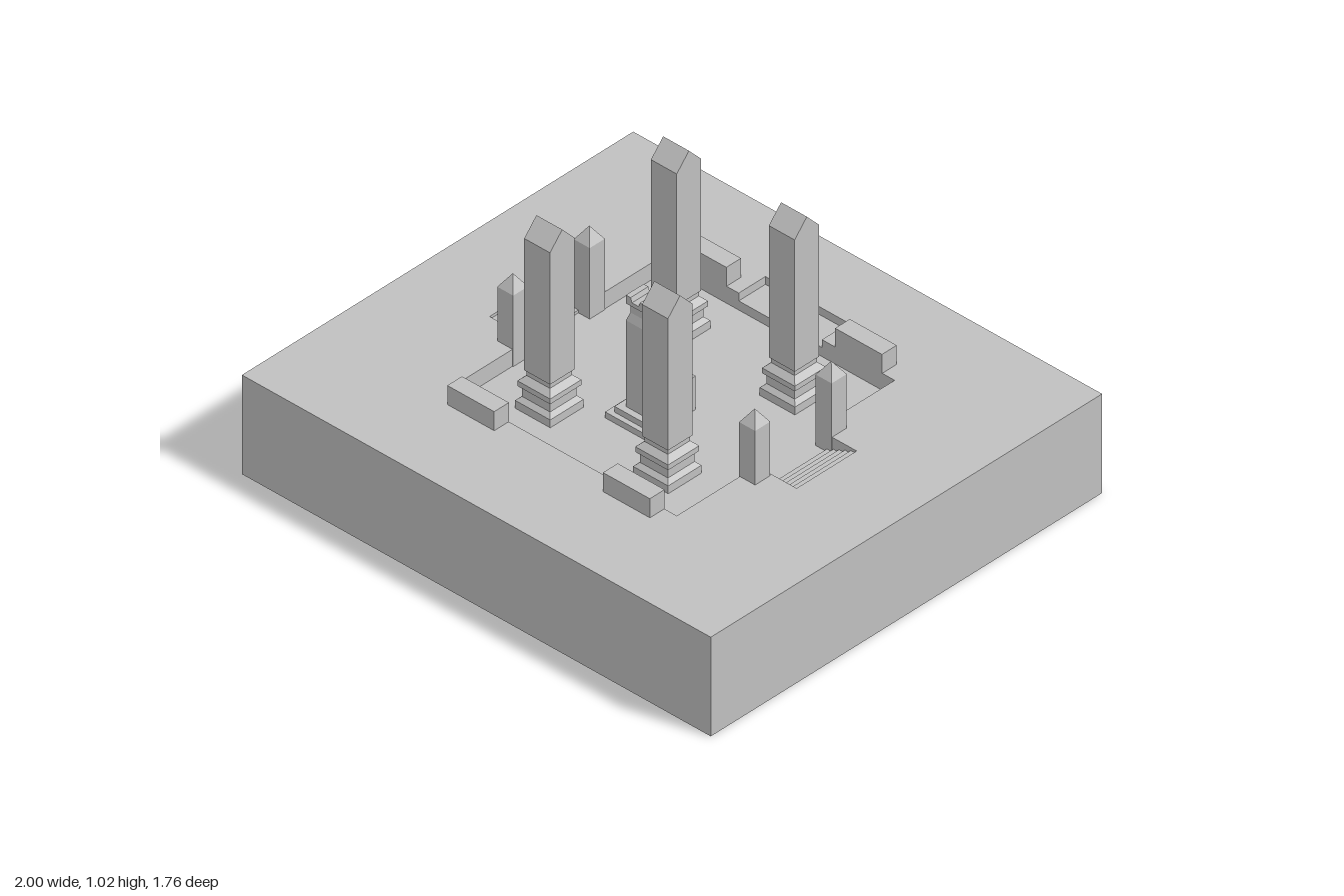
import * as THREE from 'three';

const GROUND = 0.38, FLOOR = 0.315;

export function createModel() {
  const model = new THREE.Group();
  model.name = 'sunkenCourt';
  const stone = new THREE.MeshStandardMaterial({ color: 0xc0c0c0 });
  stone.name = 'grey stone';

  const add = (name, geometry, parent = model) => {
    const mesh = new THREE.Mesh(geometry, stone);
    mesh.name = name;
    parent.add(mesh);
    return mesh;
  };

  // Box given by its limits on each axis
  const block = (name, x0, x1, y0, y1, z0, z1, parent) => {
    const mesh = add(name, new THREE.BoxGeometry(x1 - x0, y1 - y0, z1 - z0), parent);
    mesh.position.set((x0 + x1) / 2, (y0 + y1) / 2, (z0 + z1) / 2);
    return mesh;
  };

  // Square-sectioned solid from [half width, height] pairs, bottom to top
  const squareLoft = (profile) => {
    const points = profile.map(([w, y]) => new THREE.Vector2(w * Math.SQRT2, y));
    const geometry = new THREE.LatheGeometry(points, 4, Math.PI / 4).toNonIndexed();
    geometry.computeVertexNormals();
    return geometry;
  };

  // Outline in x and y, extruded evenly about z = 0
  const slice = (points, depth) => {
    const shape = new THREE.Shape(points.map(([x, y]) => new THREE.Vector2(x, y)));
    return new THREE.ExtrudeGeometry(shape, { depth, bevelEnabled: false }).translate(0, 0, -depth / 2);
  };

  // Ground slab with the court, stairwells and rear alcove cut out
  block('foundation', -1, 1, 0, FLOOR, -0.88, 0.88);
  const ground = new THREE.Shape([[-1, -0.88], [1, -0.88], [1, 0.88], [-1, 0.88]]
    .map(([x, y]) => new THREE.Vector2(x, y)));
  ground.holes.push(new THREE.Path([
    [-0.485, -0.49], [-0.485, -0.13], [-0.655, -0.13], [-0.655, 0.14], [-0.485, 0.14],
    [-0.485, 0.49], [-0.18, 0.49], [-0.18, 0.61], [0.175, 0.61], [0.175, 0.49],
    [0.485, 0.49], [0.485, 0.14], [0.655, 0.14], [0.655, -0.13], [0.485, -0.13], [0.485, -0.49],
  ].map(([x, y]) => new THREE.Vector2(x, y))));
  const groundGeometry = new THREE.ExtrudeGeometry(ground, { depth: GROUND - FLOOR, bevelEnabled: false });
  add('ground', groundGeometry.rotateX(-Math.PI / 2).translate(0, FLOOR, 0));
  block('alcoveFloor', -0.18, 0.175, FLOOR, GROUND - 0.03, -0.61, -0.49);

  // Stairs down into the court on both sides
  const STEPS = 5, tread = 0.025, rise = (GROUND - FLOOR) / (STEPS + 1);
  for (const side of [-1, 1]) {
    for (let i = 0; i < STEPS; i++) {
      const a = side * (0.655 - i * tread), b = side * (0.655 - (i + 1) * tread);
      block('stairStep', Math.min(a, b), Math.max(a, b), FLOOR, GROUND - (i + 1) * rise, -0.14, 0.13);
    }
  }

  // Four great pillars with ridged tops on moulded pedestals
  const pedestal = squareLoft([
    [0.075, FLOOR], [0.075, 0.345], [0.06, 0.36], [0.06, 0.39], [0.07, 0.4],
    [0.07, 0.42], [0.05, 0.44], [0.05, 0.465],
  ]);
  const shaft = slice([[-0.055, 0.46], [0.055, 0.46], [0.055, 0.965], [0, 1.025], [-0.055, 0.965]], 0.11)
    .rotateY(Math.PI / 2);
  for (const x of [-0.253, 0.25]) {
    for (const z of [-0.285, 0.285]) {
      const pillar = new THREE.Group();
      pillar.name = 'pillar';
      pillar.position.set(x, 0, z);
      add('pillarPedestal', pedestal, pillar);
      add('pillarShaft', shaft, pillar);
      model.add(pillar);
    }
  }

  // Pointed gateposts by the stairs, and low walls at the court's corners
  const gatepost = squareLoft([[0.034, FLOOR], [0.034, 0.587], [0, 0.638]]);
  for (const side of [-1, 1]) {
    for (const end of [-1, 1]) {
      add('gatepost', gatepost).position.set(side * 0.516, 0, end * 0.172);
      block('lowWall', side * 0.332 - 0.1, side * 0.332 + 0.1, GROUND, 0.453,
        end * 0.522 - 0.033, end * 0.522 + 0.033);
    }
  }

  // Central monument on a stepped base with a notched cap
  const monument = new THREE.Group();
  monument.name = 'monument';
  monument.position.set(-0.003, 0, 0.122);
  model.add(monument);
  block('lowerPlinth', -0.088, 0.088, FLOOR, 0.338, -0.083, 0.083, monument);
  block('upperPlinth', -0.066, 0.066, 0.338, 0.36, -0.064, 0.064, monument);
  add('monumentShaft', squareLoft([[0.04, 0.36], [0.04, 0.69], [0.03, 0.72], [0.03, 0.745], [0.04, 0.755]]), monument);
  add('notchedCap', slice([
    [-0.04, 0.755], [0.04, 0.755], [0.04, 0.787], [0.02, 0.787],
    [0.014, 0.77], [-0.014, 0.77], [-0.02, 0.787], [-0.04, 0.787],
  ], 0.08), monument);

  // Small marker stone beside the monument
  block('markerStone', 0.048, 0.082, FLOOR, 0.443, -0.02, 0.014);

  return model;
}
